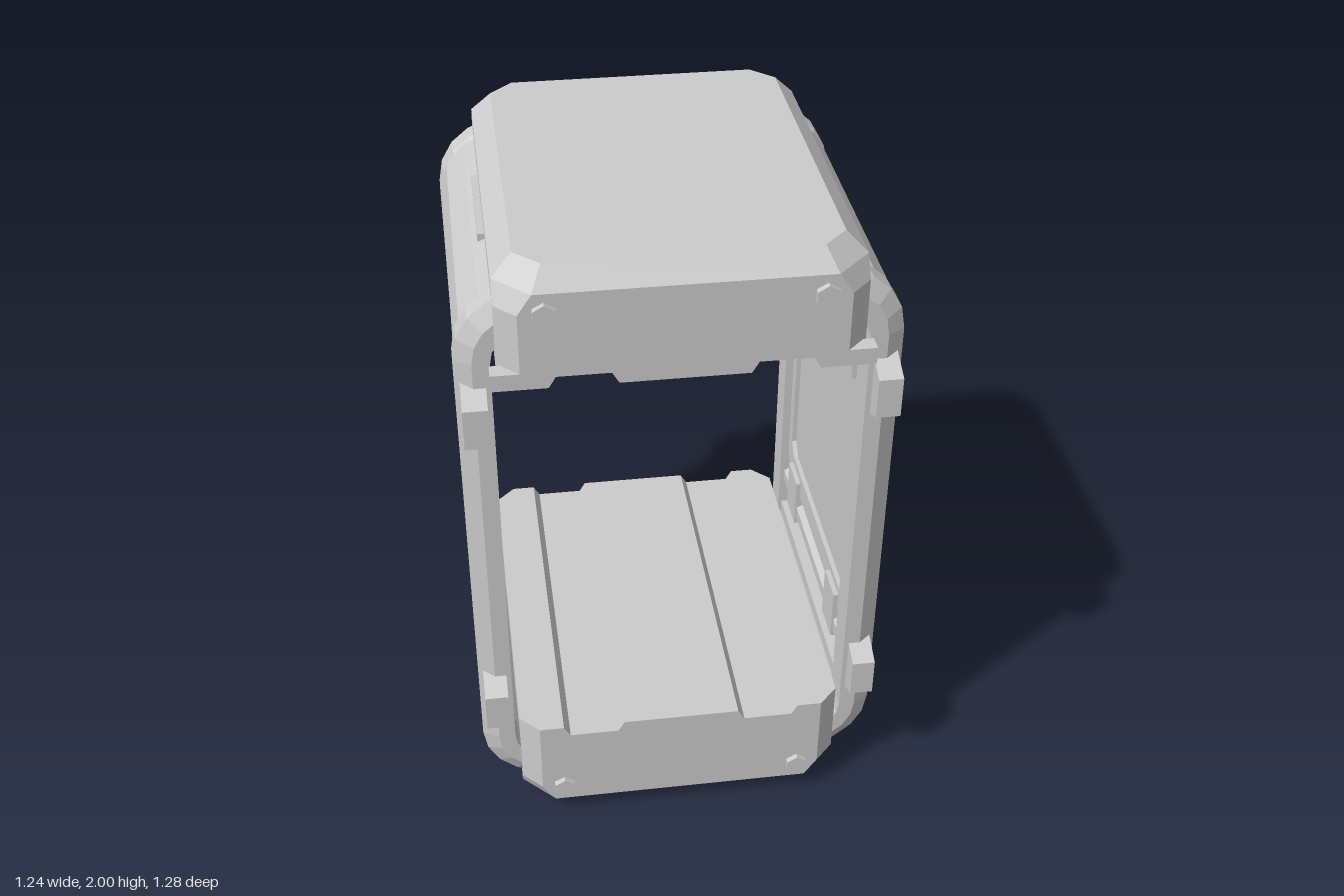
import * as THREE from 'three';

const material = new THREE.MeshStandardMaterial({ color: 0xcccccc, flatShading: true });

function add(parent, geometry, name, x = 0, y = 0, z = 0) {
  const mesh = new THREE.Mesh(geometry, material);
  mesh.name = name;
  mesh.position.set(x, y, z);
  parent.add(mesh);
  return mesh;
}

// Solid skinned over a row of convex rings with equal point counts
function loft(rings) {
  const n = rings[0].length, pts = rings.flat(), tris = [];
  for (let r = 0; r < rings.length - 1; r++) {
    for (let i = 0; i < n; i++) {
      const a = r * n + i, b = r * n + (i + 1) % n;
      tris.push([a, b, b + n], [a, b + n, a + n]);
    }
  }
  const last = (rings.length - 1) * n;
  for (let i = 1; i < n - 1; i++) tris.push([0, i + 1, i], [last, last + i, last + i + 1]);
  // Turn the faces outward if the rings ran the other way
  const v = pts.map(p => new THREE.Vector3(...p));
  const volume = tris.reduce((s, [a, b, c]) => s + v[a].dot(v[b].clone().cross(v[c])), 0);
  if (volume < 0) tris.forEach(t => t.reverse());
  const g = new THREE.BufferGeometry();
  g.setAttribute('position', new THREE.Float32BufferAttribute(tris.flat().flatMap(i => pts[i]), 3));
  g.computeVertexNormals();
  return g;
}

// Rectangle outline with cut corners
function octagon(hx, hy, c) {
  return [[hx, c - hy], [hx, hy - c], [hx - c, hy], [c - hx, hy],
    [-hx, hy - c], [-hx, c - hy], [c - hx, -hy], [hx - c, -hy]];
}

// Section of [radius, z] points turned about (0.42, cy)
const CX = 0.42;
const turn = (section, cy, a) => section.map(([r, z]) => [CX + r * Math.cos(a), cy + r * Math.sin(a), z]);
const radians = list => list.map(d => d * Math.PI / 180);

// End block with chamfered base, grooved inner face and corner bolts
function makeBlock(name, h) {
  const block = new THREE.Group();
  block.name = name;
  const floor = h - 0.034;
  const plan = (y, hx, hz, c) => octagon(hx, hz, c).map(([x, z]) => [x, y, z]);
  add(block, loft([plan(0, 0.445, 0.565, 0.07), plan(0.06, 0.505, 0.62, 0.1),
    plan(0.12, 0.505, 0.62, 0.06), plan(floor, 0.505, 0.62, 0.06)]), 'blockBody');

  const centre = (y, hx) => [[hx, y, 0.62], [hx, y, -0.62], [-hx, y, -0.62], [-hx, y, 0.62]];
  add(block, loft([centre(floor, 0.2), centre(h, 0.18)]), 'centreRib');
  for (const s of [-1, 1]) {
    const rib = (y, x) => [[x, 0.62], [0.445, 0.62], [0.505, 0.56], [0.505, -0.56], [0.445, -0.62], [x, -0.62]]
      .map(([px, z]) => [s * px, y, z]);
    add(block, loft([rib(floor, 0.35), rib(h, 0.37)]), 'sideRib');
    for (const f of [-1, 1]) {
      const bolt = new THREE.CylinderGeometry(0.036, 0.036, 0.06, 6);
      bolt.rotateY(Math.PI / 2).rotateX(Math.PI / 2).rotateZ(Math.PI / 2);
      add(block, bolt, 'bolt', s * 0.375, 0.12, f * 0.608);
    }
  }
  return block;
}

// One side wall, built on +x
function makeSide(name) {
  const side = new THREE.Group();
  side.name = name;
  const angles = radians([0, 20, 40, 60, 78]);

  for (const f of [-1, 1]) {
    // C-shaped post with chamfered outer edge
    const section = [[0.1, 0.56], [0.15, 0.56], [0.2, 0.53], [0.2, 0.465], [0.19, 0.455], [0.1, 0.455]]
      .map(([r, z]) => [r, f * z]);
    add(side, loft([
      ...angles.slice().reverse().map(a => turn(section, 0.3, -a)),
      ...angles.map(a => turn(section, 1.7, a)),
    ]), 'post');

    // Tapered clips on the posts
    for (const y of [0.472, 1.533]) {
      const ring = (z, h) => [[0.535, y - h, f * z], [0.605, y - h, f * z], [0.605, y + h, f * z], [0.535, y + h, f * z]];
      add(side, loft([ring(0.535, 0.103), ring(0.625, 0.062)]), 'postClip');
    }
  }

  for (const s of [-1, 1]) {
    // Faceted corner panel between the posts
    const shell = [[0.11, 0.457], [0.195, 0.457], [0.195, -0.457], [0.11, -0.457]];
    const cy = 1 + s * 0.7;
    add(side, loft([
      turn(shell, cy - s * 0.045, 0),
      ...radians([0, 26, 52, 78]).map(a => turn(shell, cy, s * a)),
    ]), 'cornerPanel');
    add(side, new THREE.BoxGeometry(0.06, 0.05, 0.36), 'cornerPlate', 0.495, 1 + s * 0.86, 0);

    // Rail and the two hanging tabs
    const railY = 1.005 + s * 0.54;
    const rail = new THREE.CylinderGeometry(0.04, 0.04, 0.92, 6);
    rail.rotateX(Math.PI / 2);
    add(side, rail, 'rail', 0.57, railY, 0);
    for (const f of [-1, 1]) {
      add(side, new THREE.BoxGeometry(0.085, 0.172, 0.128), 'railTab', 0.572, 1.008 + s * 0.505, f * 0.296);
    }
  }

  // Door panel: raised border with a recessed sheet
  const toShape = (hx, hy, c, Type) => new Type(octagon(hx, hy, c).map(p => new THREE.Vector2(...p)));
  const border = toShape(0.447, 0.473, 0.05, THREE.Shape);
  border.holes.push(toShape(0.4, 0.388, 0.04, THREE.Path));
  const sheet = toShape(0.42, 0.41, 0.04, THREE.Shape);
  for (const [shape, depth, label] of [[border, 0.05, 'panelBorder'], [sheet, 0.02, 'panelSheet']]) {
    const g = new THREE.ExtrudeGeometry(shape, { depth, bevelEnabled: false });
    g.translate(0, 0, -depth / 2).rotateY(Math.PI / 2);
    add(side, g, label, 0.57, 1.003, 0);
  }
  return side;
}

export function createModel() {
  const model = new THREE.Group();
  model.name = 'openFrameCrate';

  model.add(makeBlock('baseBlock', 0.374));
  const top = makeBlock('topBlock', 0.35);
  top.rotation.x = Math.PI;
  top.position.y = 2;
  // Small lips at the lower corners of the top block
  for (const s of [-1, 1]) {
    for (const f of [-1, 1]) add(top, new THREE.BoxGeometry(0.09, 0.05, 0.05), 'cornerLip', s * 0.48, 0.325, f * 0.595);
  }
  model.add(top);

  model.add(makeSide('leftSide'));
  const right = makeSide('rightSide');
  right.rotation.y = Math.PI;
  model.add(right);
  return model;
}
